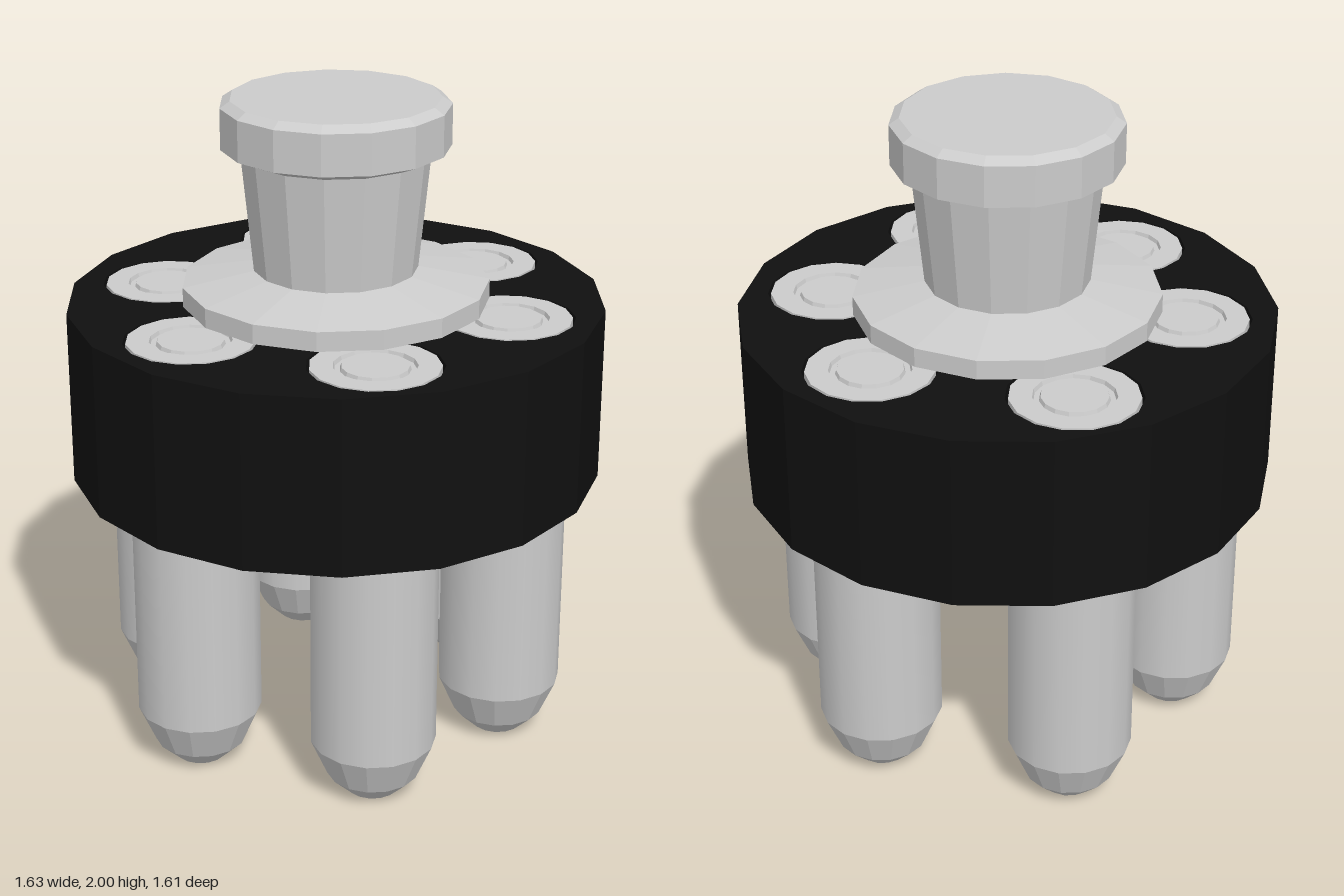
import * as THREE from 'three';

const SIDES = 15;
const BODY_BOTTOM = 0.835, BODY_TOP = 1.375;
const metal = new THREE.MeshStandardMaterial({ color: 0xcccccc });
const metalFlat = new THREE.MeshStandardMaterial({ color: 0xcccccc, flatShading: true });
const black = new THREE.MeshStandardMaterial({ color: 0x101010, flatShading: true });

// Centres [x, z] of the six chambers
const chambers = [
  [0, 0.575], [0.47, 0.275], [0.5, -0.24],
  [0, -0.58], [-0.482, -0.242], [-0.482, 0.275],
];

function mesh(name, geometry, material) {
  const m = new THREE.Mesh(geometry, material);
  m.name = name;
  return m;
}

// Turned part from [radius, height] points, bottom to top, one corner on -x
function turned(name, profile, material) {
  const points = profile.map(([r, y]) => new THREE.Vector2(r, y));
  return mesh(name, new THREE.LatheGeometry(points, SIDES, -Math.PI / 2), material);
}

// Corners of a regular polygon in the shape plane
function polygon(n, r, cx = 0, cy = 0, start = 0) {
  return Array.from({ length: n }, (_, i) => {
    const a = start + (i / n) * Math.PI * 2;
    return new THREE.Vector2(cx + r * Math.cos(a), cy + r * Math.sin(a));
  });
}

// Eighteen-sided drum pierced by the chambers
function createBody() {
  const shape = new THREE.Shape(polygon(18, 0.817));
  for (const [x, z] of chambers) {
    shape.holes.push(new THREE.Path(polygon(SIDES, 0.199, x, -z, Math.PI)));
  }
  const geometry = new THREE.ExtrudeGeometry(shape, { depth: BODY_TOP - BODY_BOTTOM, bevelEnabled: false });
  geometry.rotateX(-Math.PI / 2);
  geometry.translate(0, BODY_BOTTOM, 0);
  return mesh('body', geometry, black);
}

// Round with a tapered nose, straight case and grooved base
function createRound(x, z) {
  const round = new THREE.Group();
  round.name = 'round';
  round.add(
    turned('nose', [[0, 0], [0.078, 0], [0.14, 0.06], [0.19, 0.175]], metalFlat),
    turned('case', [[0.19, 0.175], [0.19, BODY_TOP]], metal),
    turned('base', [
      [0.19, BODY_TOP], [0.122, BODY_TOP], [0.118, BODY_TOP - 0.012],
      [0.102, BODY_TOP - 0.012], [0.098, BODY_TOP], [0, BODY_TOP],
    ], metalFlat),
  );
  round.position.set(x, 0, z);
  return round;
}

export function createModel() {
  const model = new THREE.Group();
  model.name = 'roundHolder';
  model.add(createBody());
  for (const [x, z] of chambers) model.add(createRound(x, z));

  // Central flange, flared stem and grip cap
  const knob = new THREE.Group();
  knob.name = 'knob';
  knob.add(
    turned('flange', [[0, 1.375], [0.467, 1.375], [0.467, 1.435], [0.25, 1.475]], metalFlat),
    turned('stem', [[0.25, 1.475], [0.285, 1.83]], metalFlat),
    turned('cap', [[0.285, 1.83], [0.345, 1.855], [0.345, 1.98], [0.315, 2], [0, 2]], metalFlat),
  );
  model.add(knob);
  return model;
}
